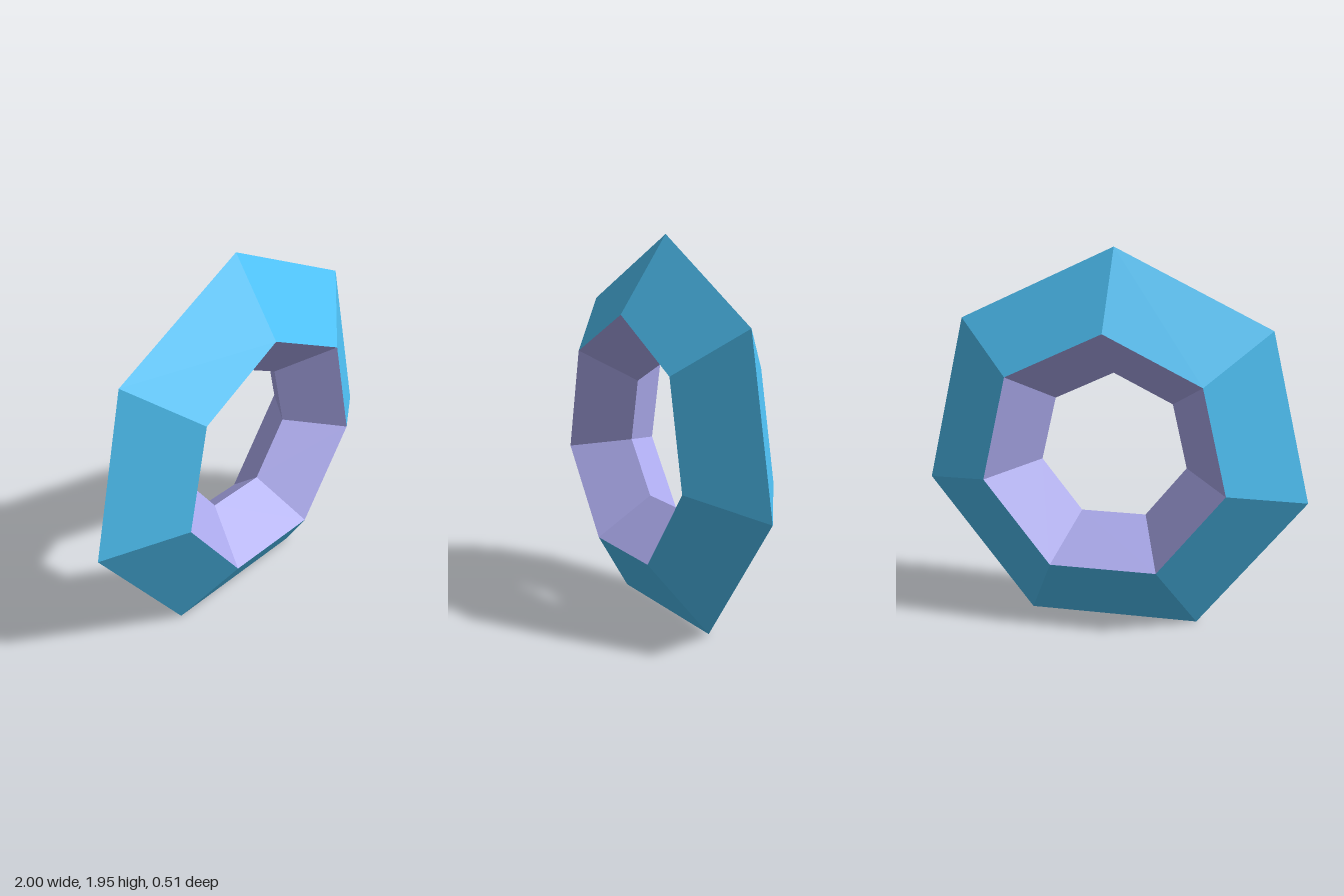
import * as THREE from 'three';

const SIDES = 7;
const OUTER = 1.026;   // outer edge radius
const RIM = 0.637;     // front and back rim radius
const INNER = 0.391;   // hole edge radius
const HALF_DEPTH = 0.253;

// Seven-sided band swept from [radius, depth] points, with a corner pointing up
function band(name, color, profile) {
  const points = profile.map(([r, d]) => new THREE.Vector2(r, d));
  const geometry = new THREE.LatheGeometry(points, SIDES);
  geometry.rotateX(-Math.PI / 2);
  const mesh = new THREE.Mesh(
    geometry,
    new THREE.MeshStandardMaterial({ color, flatShading: true })
  );
  mesh.name = name;
  return mesh;
}

export function createModel() {
  const ring = new THREE.Group();
  ring.name = 'heptagonalRing';

  // Outer bevels meeting in a sharp edge at mid depth
  ring.add(band('outerBevel', 0x4fc3f7, [[RIM, -HALF_DEPTH], [OUTER, 0], [RIM, HALF_DEPTH]]));

  // Inner bevels narrowing to the hole
  ring.add(band('innerBevel', 0xb0aef2, [[RIM, HALF_DEPTH], [INNER, 0], [RIM, -HALF_DEPTH]]));

  // Stand the flat bottom edge on the ground
  ring.position.y = OUTER * Math.cos(Math.PI / SIDES);

  const model = new THREE.Group();
  model.name = 'model';
  model.add(ring);
  return model;
}
